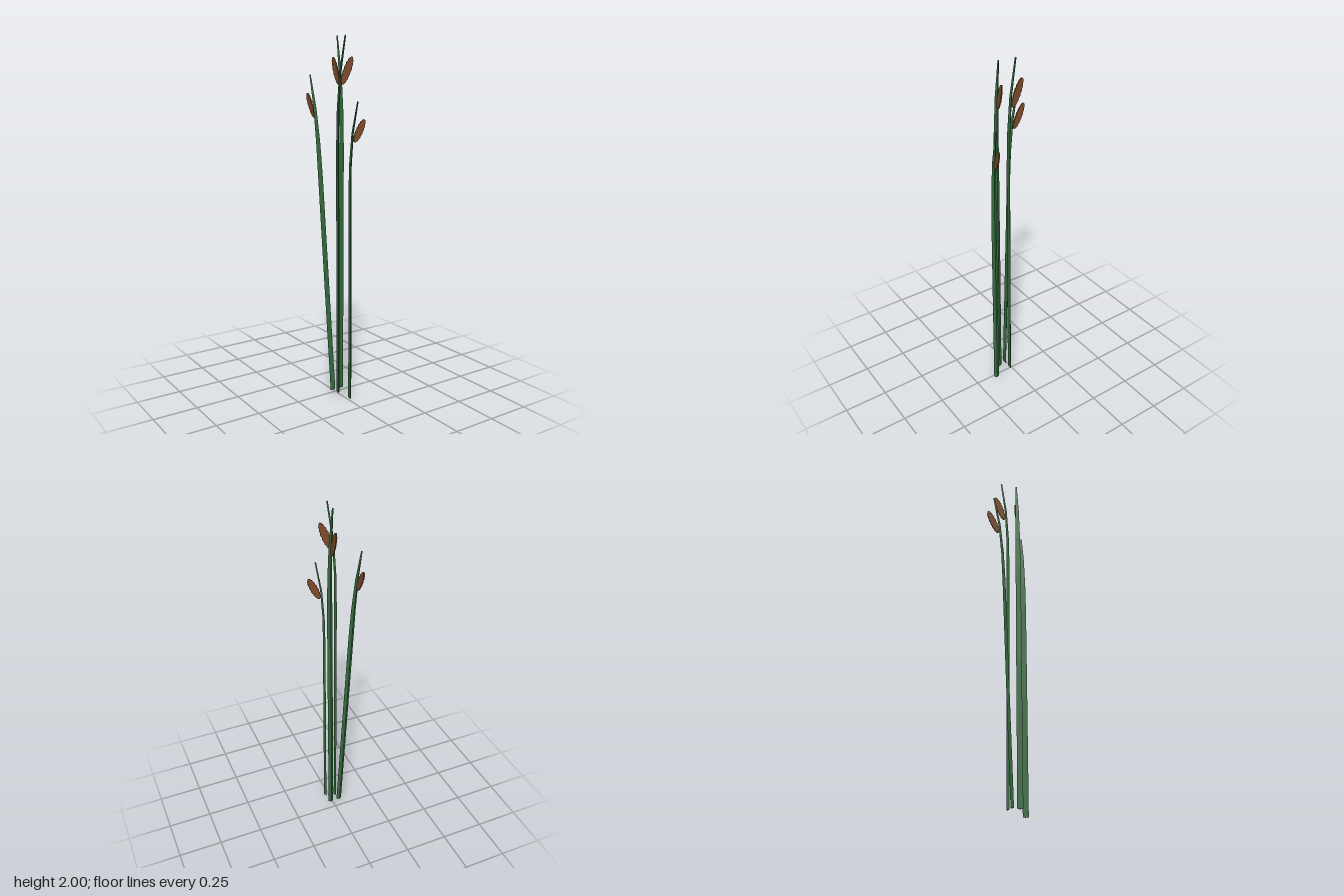
import * as THREE from 'three';

const stemGreen = new THREE.MeshStandardMaterial({ color: 0x356a3e });
stemGreen.name = 'stem green';
stemGreen.flatShading = true;
const seedBrown = new THREE.MeshStandardMaterial({ color: 0x7d4a2a });
seedBrown.name = 'seed brown';
seedBrown.flatShading = true;

// Each reed is made in its own space: x = bend direction, y = 0..1 up the stem, z = width.

// Three-sided stem with a flat back and a ridge towards the bend
function stemGeometry() {
  // height, bend offset, half width, thickness
  const stations = [
    [0, 0, 0.0155, 0.012],
    [0.4, -0.002, 0.0155, 0.012],
    [0.7, -0.004, 0.015, 0.011],
    [0.8, -0.002, 0.013, 0.01],
    [0.9, 0.009, 0.0095, 0.009],
    [1, 0.037, 0.004, 0.007],
  ];
  const positions = [];
  const index = [];
  stations.forEach(([h, u, w, t], i) => {
    positions.push(u - t * 0.4, h, w, u - t * 0.4, h, -w, u + t * 0.6, h, 0);
    if (i === 0) return;
    for (let k = 0; k < 3; k++) {
      const a = (i - 1) * 3 + k;
      const b = (i - 1) * 3 + ((k + 1) % 3);
      index.push(a, a + 3, b, b, a + 3, b + 3);
    }
  });
  const top = (stations.length - 1) * 3;
  index.push(0, 1, 2, top, top + 2, top + 1);
  const g = new THREE.BufferGeometry();
  g.setAttribute('position', new THREE.Float32BufferAttribute(positions, 3));
  g.setIndex(index);
  const flat = g.toNonIndexed();
  flat.computeVertexNormals();
  return flat;
}

// Thin, slanted oval plate with a slightly serrated edge
function seedGeometry() {
  const HEIGHT = 1.97;
  const points = [];
  const n = 36;
  for (let i = 0; i < n; i++) {
    const a = (i / n) * Math.PI * 2;
    const along = Math.cos(a) * 0.077;
    const across = Math.sin(a) * 0.021 * (i % 2 ? 0.9 : 1.06);
    // axis of the oval leans outwards from the stem
    points.push(new THREE.Vector2(
      0.047 + along * 0.365 - across * 0.93,
      0.908 + (along * 0.93 + across * 0.365) / HEIGHT,
    ));
  }
  const g = new THREE.ExtrudeGeometry(new THREE.Shape(points), { depth: 0.006, bevelEnabled: false });
  g.translate(0, 0, -0.003);
  return g;
}

export function createModel() {
  const model = new THREE.Group();
  model.name = 'reeds';
  const stem = stemGeometry();
  const seed = seedGeometry();

  // base position, height, bend direction (x, z), lean at the top (x, z)
  const reeds = [
    { name: 'leaningReed', base: [-0.035, 0.03, 0.024], height: 1.77, bend: [0, -1], lean: [-0.058, -0.093] },
    { name: 'backReed', base: [0.019, 0.03, 0.024], height: 1.97, bend: [0, -1], lean: [0, 0] },
    { name: 'middleReed', base: [-0.027, 0.03, 0.072], height: 1.97, bend: [0.976, 0.217], lean: [0, 0] },
    { name: 'frontReed', base: [0.019, 0, 0.122], height: 1.66, bend: [0.976, 0.217], lean: [0, 0] },
  ];

  for (const { name, base, height, bend, lean } of reeds) {
    const matrix = new THREE.Matrix4().makeBasis(
      new THREE.Vector3(bend[0], 0, bend[1]),
      new THREE.Vector3(lean[0], height, lean[1]),
      new THREE.Vector3(-bend[1], 0, bend[0]),
    ).setPosition(...base);
    const reed = new THREE.Group();
    reed.name = name;
    const stemMesh = new THREE.Mesh(stem.clone().applyMatrix4(matrix), stemGreen);
    stemMesh.name = 'stem';
    const seedMesh = new THREE.Mesh(seed.clone().applyMatrix4(matrix), seedBrown);
    seedMesh.name = 'seedHead';
    reed.add(stemMesh, seedMesh);
    model.add(reed);
  }
  return model;
}
